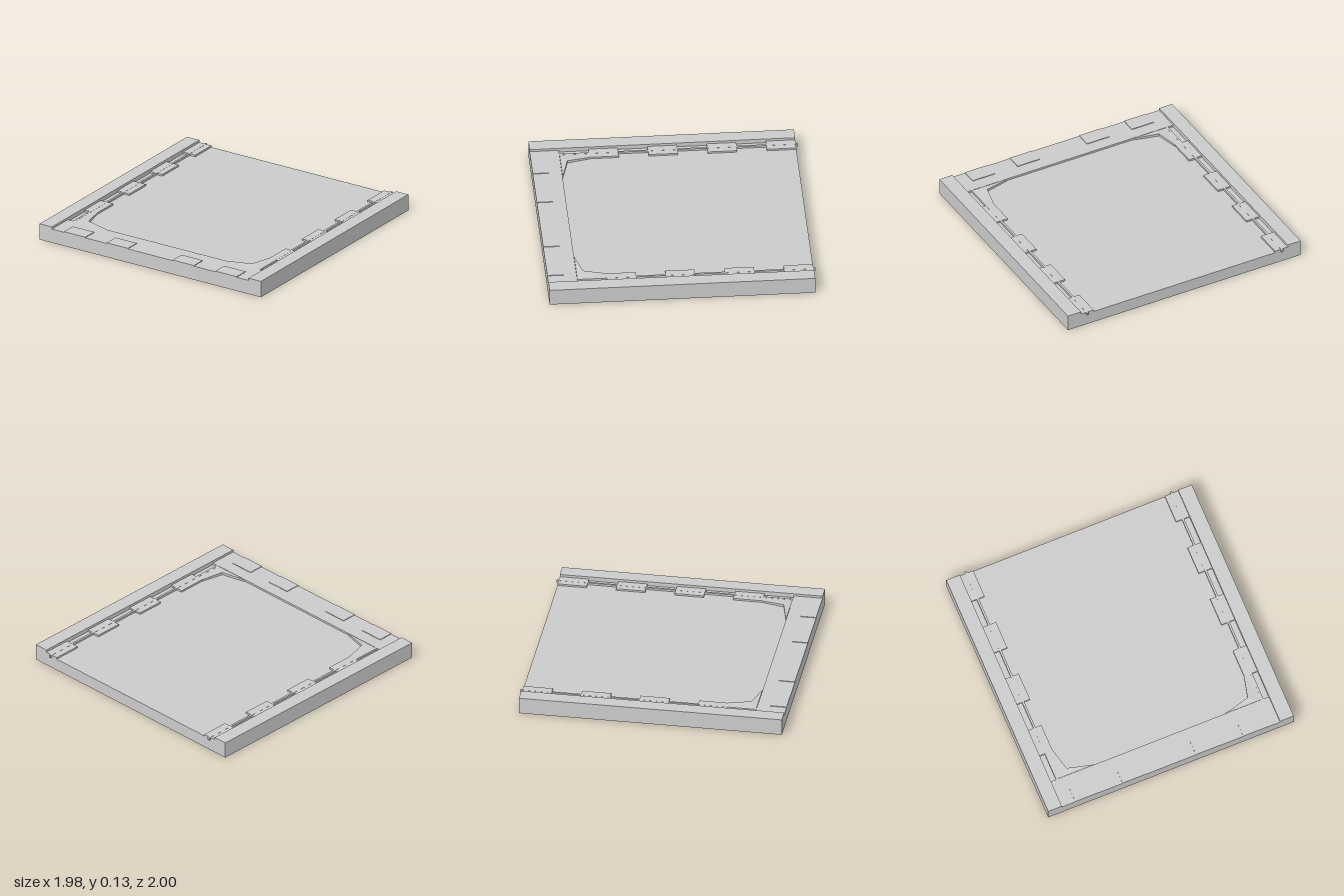
import * as THREE from 'three';

const material = new THREE.MeshStandardMaterial({ color: 0xcccccc, flatShading: true });

// Box given by its limits on each axis
function block(name, x0, x1, y0, y1, z0, z1) {
  const geometry = new THREE.BoxGeometry(x1 - x0, y1 - y0, z1 - z0);
  geometry.translate((x0 + x1) / 2, (y0 + y1) / 2, (z0 + z1) / 2);
  const mesh = new THREE.Mesh(geometry, material);
  mesh.name = name;
  return mesh;
}

// Corner plate: a low prism whose top rises to a ridge at the bend
function cornerPlate(side, floor) {
  const outline = [[0.82, 0.56], [0.77, 0.56], [0.73, 0.73], [0.53, 0.78], [0.82, 0.78]];
  const shape = new THREE.Shape(outline.map(([x, z]) => new THREE.Vector2(side * x, -z)));
  const geometry = new THREE.ExtrudeGeometry(shape, { depth: 0.014, bevelEnabled: false });
  geometry.rotateX(-Math.PI / 2);
  geometry.translate(0, floor, 0);
  const p = geometry.attributes.position;
  for (let i = 0; i < p.count; i++) {
    const atBend = Math.abs(Math.abs(p.getX(i)) - 0.73) < 0.01;
    if (atBend && p.getY(i) > floor + 0.005) p.setY(i, 0.115);
  }
  geometry.computeVertexNormals();
  const mesh = new THREE.Mesh(geometry, material);
  mesh.name = 'cornerPlate';
  return mesh;
}

export function createModel() {
  const model = new THREE.Group();
  model.name = 'tile';
  const back = -0.985, front = 1, floor = 0.095, ledge = 0.11;

  // Base slab with the recessed field, and the ledge along its front
  model.add(block('base', -0.99, 0.99, 0, floor, back, front));
  model.add(block('frontLedge', -0.88, 0.88, floor, ledge, 0.782, front));

  for (const side of [-1, 1]) {
    const add = (name, x0, x1, y0, y1, z0, z1) =>
      model.add(block(name, Math.min(side * x0, side * x1), Math.max(side * x0, side * x1), y0, y1, z0, z1));

    // Raised outer border
    add('sideBorder', 0.88, 0.99, floor, 0.128, back, front);

    // Side blocks with open notches between them
    for (let i = 0; i < 4; i++) {
      const z = -0.985 + i * 0.442;
      add('sideBlock', 0.772, 0.88, floor, ledge - 0.001, z, z + 0.22);
    }

    // Rail running through the blocks and sticking out at the back
    add('rail', 0.82, 0.836, 0.09, ledge, -1, 0.782);

    // Thin pads along the front edge
    for (const x of [0.2, 0.582]) add('frontPad', x, x + 0.19, ledge, 0.115, 0.88, front);

    model.add(cornerPlate(side, floor));
  }
  return model;
}
